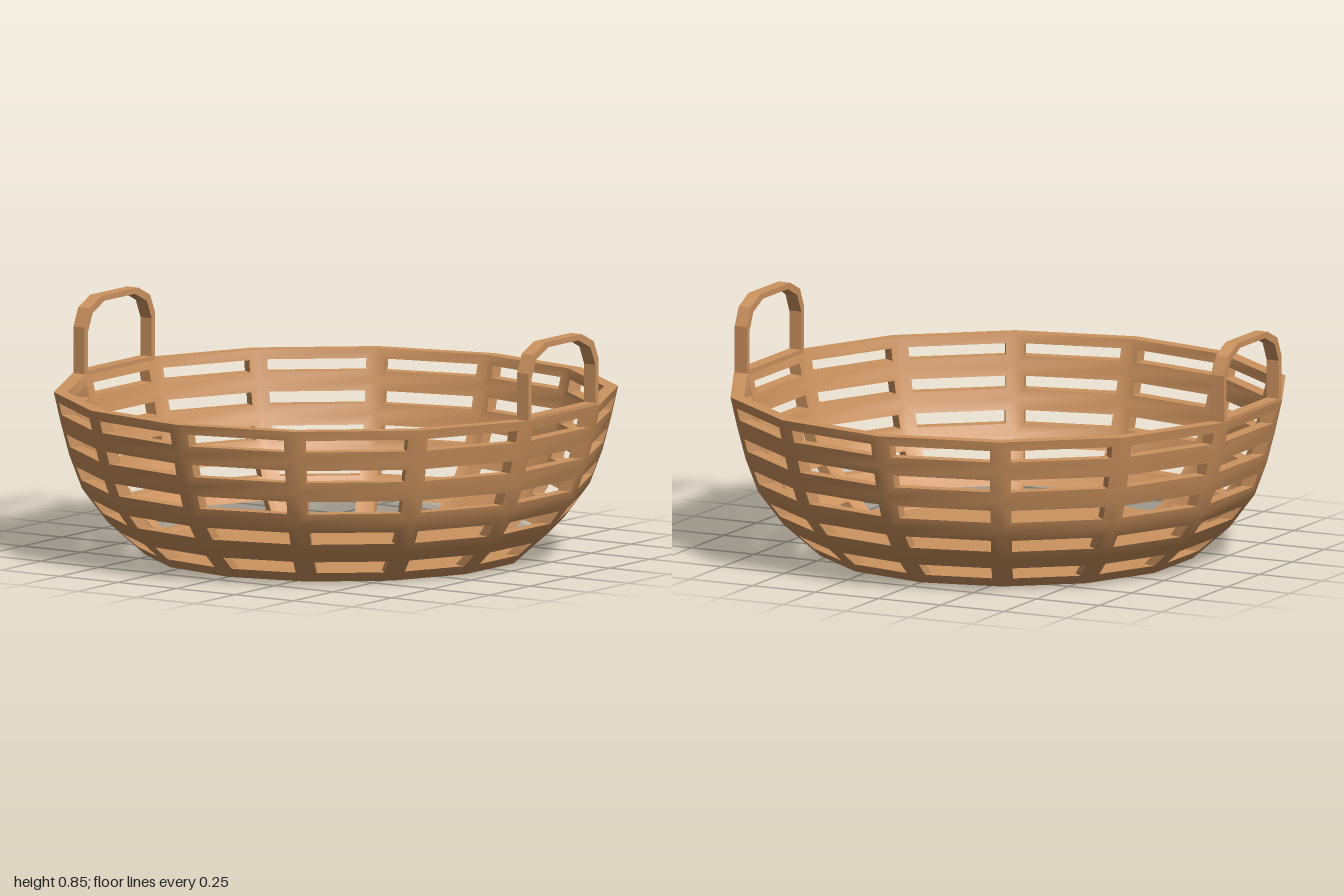
import * as THREE from 'three';
import { toCreasedNormals } from 'three/addons/utils/BufferGeometryUtils.js';

const SIDES = 14;
const WALL = 0.05;
// outer profile of the bowl, [corner radius, height]
const PROFILE = [[0.675, 0], [0.81, 0.12], [0.9, 0.24], [0.945, 0.36], [0.975, 0.475], [1, 0.585]];

const point = ([r, y], inset, angle) =>
  new THREE.Vector3((r - inset) * Math.sin(angle), y, (r - inset) * Math.cos(angle));

// four panel corners, anticlockwise from bottom left as seen from outside
function panelCorners(low, high, a, b, inset) {
  return [point(low, inset, a), point(low, inset, b), point(high, inset, b), point(high, inset, a)];
}

// slot corners inside a panel, leaving an even margin at the sides
function slotCorners([bl, br, tr, tl], margin) {
  const across = (v) => {
    const l = bl.clone().lerp(tl, v);
    const r = br.clone().lerp(tr, v);
    const t = margin / l.distanceTo(r);
    return [l.clone().lerp(r, t), r.clone().lerp(l, t)];
  };
  const [sbl, sbr] = across(0.3);
  const [stl, str] = across(0.69);
  return [sbl, sbr, str, stl];
}

function wallGeometry() {
  const positions = [];
  const quad = (a, b, c, d) => {
    for (const p of [a, b, c, a, c, d]) positions.push(p.x, p.y, p.z);
  };
  for (let s = 0; s < SIDES; s++) {
    const a = (s / SIDES) * Math.PI * 2;
    const b = ((s + 1) / SIDES) * Math.PI * 2;
    for (let row = 0; row < PROFILE.length - 1; row++) {
      const outer = panelCorners(PROFILE[row], PROFILE[row + 1], a, b, 0);
      const inner = panelCorners(PROFILE[row], PROFILE[row + 1], a, b, WALL);
      const slotOut = slotCorners(outer, 0.038);
      const slotIn = slotCorners(inner, 0.034);
      for (let i = 0; i < 4; i++) {
        const j = (i + 1) % 4;
        quad(outer[i], outer[j], slotOut[j], slotOut[i]); // outside face
        quad(inner[j], inner[i], slotIn[i], slotIn[j]); // inside face
        quad(slotOut[i], slotOut[j], slotIn[j], slotIn[i]); // slot edge
      }
      // flat top of the rim
      if (row === PROFILE.length - 2) quad(outer[3], outer[2], inner[2], inner[3]);
    }
  }
  const geometry = new THREE.BufferGeometry();
  geometry.setAttribute('position', new THREE.Float32BufferAttribute(positions, 3));
  return toCreasedNormals(geometry, 0.5);
}

// chamfered arch outline in the z-y plane
function archPoints(halfWidth, bottom, top) {
  const half = [
    [halfWidth, bottom], [halfWidth, top - 0.1],
    [halfWidth - 0.03, top - 0.035], [halfWidth - 0.105, top],
  ];
  const mirrored = half.map(([z, y]) => [-z, y]).reverse();
  return [...half, ...mirrored].map(([z, y]) => new THREE.Vector2(z, y));
}

function handleGeometry() {
  const shape = new THREE.Shape(archPoints(0.22, 0.575, 0.852));
  shape.holes.push(new THREE.Path(archPoints(0.2, 0.595, 0.832)));
  const geometry = new THREE.ExtrudeGeometry(shape, { depth: 0.048, bevelEnabled: false });
  geometry.translate(0, 0, -0.024);
  return geometry.rotateY(Math.PI / 2);
}

export function createModel() {
  const model = new THREE.Group();
  model.name = 'basket';
  const wicker = new THREE.MeshStandardMaterial({ color: 0xcd935f });
  const add = (name, geometry) => {
    const mesh = new THREE.Mesh(geometry, wicker);
    mesh.name = name;
    model.add(mesh);
    return mesh;
  };

  add('slottedWall', wallGeometry());

  // solid floor closing the bottom
  const floor = new THREE.CylinderGeometry(0.705, 0.674, 0.03, SIDES).toNonIndexed();
  floor.computeVertexNormals();
  add('floor', floor).position.y = 0.015;

  // one handle on each side of the rim
  for (const [name, side] of [['leftHandle', 1], ['rightHandle', -1]]) {
    add(name, handleGeometry()).position.x = side * 0.949;
  }
  return model;
}
